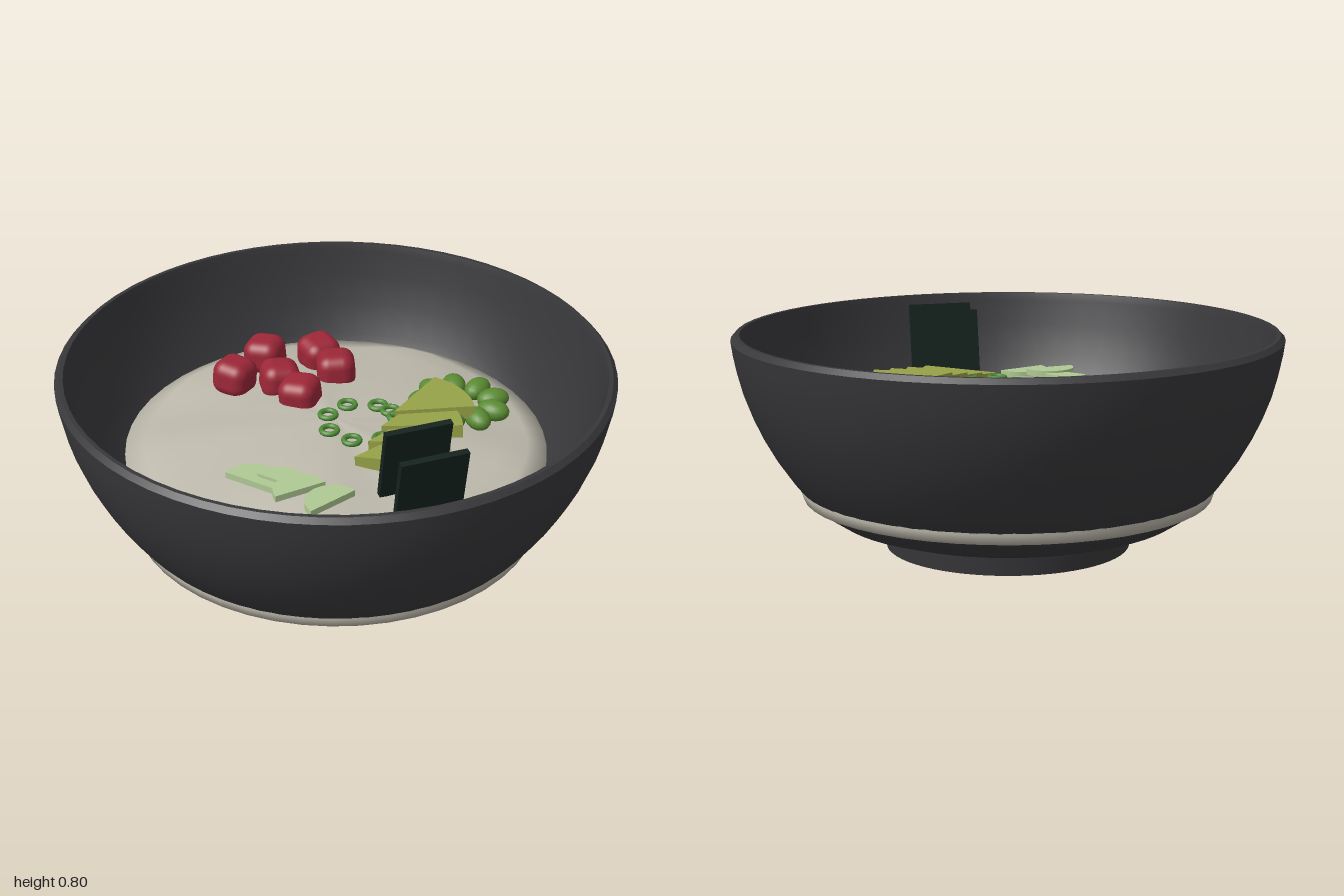
import * as THREE from 'three';
import { RoundedBoxGeometry } from 'three/addons/geometries/RoundedBoxGeometry.js';

const mat = (color, roughness = 0.8) => new THREE.MeshStandardMaterial({ color, roughness });
const rad = THREE.MathUtils.degToRad;

export function createModel() {
  const model = new THREE.Group();
  const add = (name, geometry, material, x = 0, y = 0, z = 0, parent = model) => {
    const mesh = new THREE.Mesh(geometry, material);
    mesh.name = name;
    mesh.position.set(x, y, z);
    parent.add(mesh);
    return mesh;
  };
  const group = (name) => {
    const g = new THREE.Group();
    g.name = name;
    model.add(g);
    return g;
  };
  const lathe = (points, segments = 64) =>
    new THREE.LatheGeometry(points.map(([r, y]) => new THREE.Vector2(r, y)), segments);
  // flat slice: shape lies in the ground plane (shape y = -z), thickness goes up
  const slice = (shape, depth) =>
    new THREE.ExtrudeGeometry(shape, { depth, bevelEnabled: false, curveSegments: 14 }).rotateX(-Math.PI / 2);
  const sector = (radius, from, to) => {
    const s = new THREE.Shape();
    s.moveTo(0, 0);
    s.absarc(0, 0, radius, from, to, false);
    s.lineTo(0, 0);
    return s;
  };

  // Bowl: outer wall, bevelled rim, inner wall and foot
  const dark = mat(0x38383b);
  const bowl = group('bowl');
  add('outerWall', lathe([[0, 0.088], [0.45, 0.088], [0.545, 0.092], [0.635, 0.122], [0.69, 0.158], [0.728, 0.195],
    [0.79, 0.268], [0.85, 0.355], [0.895, 0.435], [0.93, 0.51], [0.96, 0.59], [0.98, 0.665], [0.993, 0.73], [1, 0.782]]),
  dark, 0, 0, 0, bowl);
  add('rimBevel', lathe([[1, 0.782], [0.983, 0.8]]), dark, 0, 0, 0, bowl);
  add('rimTop', lathe([[0.983, 0.8], [0.968, 0.8]]), dark, 0, 0, 0, bowl);
  add('innerWall', lathe([[0.968, 0.8], [0.96, 0.77], [0.945, 0.68], [0.915, 0.57], [0.87, 0.45], [0.815, 0.35],
    [0.735, 0.255], [0.62, 0.175], [0.5, 0.135], [0, 0.12]]), dark, 0, 0, 0, bowl);
  add('foot', new THREE.CylinderGeometry(0.46, 0.45, 0.1, 64), dark, 0, 0.05, 0, bowl);

  // Rice: low mound with soft radial folds, its lower edge showing through the wall
  const riceGeo = lathe([[0, 0.195], [0.752, 0.195], [0.764, 0.23], [0.767, 0.35], [0.769, 0.465],
    [0.7, 0.488], [0.6, 0.51], [0.45, 0.535], [0.25, 0.56], [0, 0.565]], 48);
  const p = riceGeo.attributes.position;
  for (let i = 0; i < p.count; i++) {
    const x = p.getX(i), y = p.getY(i), z = p.getZ(i);
    if (y < 0.47) continue;
    const a = Math.atan2(z, x), r = Math.hypot(x, z);
    p.setY(i, y + 0.016 * r * (Math.sin(5 * a + 4 * r) + 0.6 * Math.sin(9 * a - 3 * r)));
  }
  riceGeo.computeVertexNormals();
  add('rice', riceGeo, mat(0xbdb9ac));

  // Diced fish cubes: [x, z, turn]
  const cubes = group('fishCubes');
  const cubeGeo = new RoundedBoxGeometry(0.145, 0.135, 0.145, 5, 0.048);
  [[-0.47, -0.25, 0.2], [-0.3, -0.365, -0.45], [-0.18, -0.295, 0.6], [-0.32, -0.12, 0.75],
    [-0.195, -0.065, 0.18], [-0.475, -0.05, 0.02]].forEach(([x, z, turn], i) => {
    add('fishCube', cubeGeo, mat(0x9c2738, 0.5), x, 0.58, z, cubes).rotation.set(0.08 * Math.sin(i * 2), turn, 0.08 * Math.cos(i * 3));
  });

  // Beans in a ring, long axis pointing outward
  const beans = group('beans');
  const beanGeo = new THREE.SphereGeometry(1, 18, 12).scale(0.061, 0.038, 0.044);
  for (let i = 0; i < 9; i++) {
    const a = rad(6 + i * 40);
    add('bean', beanGeo, mat(0x5a8a32, 0.6), 0.337 + 0.132 * Math.cos(a), 0.575, -0.322 - 0.122 * Math.sin(a), beans).rotation.y = a;
  }

  // Scallion rings in a loose circle
  const rings = group('scallionRings');
  const ringGeo = new THREE.TorusGeometry(0.029, 0.01, 8, 20).rotateX(Math.PI / 2);
  [48, 69, 94, 144, 189, 238, 284, 333].forEach((deg) => {
    const a = rad(deg);
    add('scallionRing', ringGeo, mat(0x4f8a38), 0.11 + 0.133 * Math.cos(a), 0.587, -0.13 * Math.sin(a), rings);
  });

  // Fanned avocado wedges, each resting on the next
  const avocado = group('avocadoSlices');
  for (let i = 0; i < 4; i++) {
    const from = rad(35 - i * 6);
    add('avocadoSlice', slice(sector(0.29, from, from + rad(54)), 0.05), mat(0x97a248), 0.208,
      0.578 - i * 0.014, -0.065 + i * 0.093, avocado).rotation.z = 0.04;
  }

  // Cucumber half slices: [x, z, radius, facing in degrees, lift]
  const cucumber = group('cucumberSlices');
  [[-0.04, 0.495, 0.11, 90, 0], [0.05, 0.46, 0.09, 90, 0.012], [0.147, 0.475, 0.096, 150, 0.02],
    [0.268, 0.46, 0.098, 162, 0.006]].forEach(([x, z, r, deg, lift]) => {
    const a = rad(deg);
    add('cucumberSlice', slice(sector(r, a - Math.PI / 2, a + Math.PI / 2), 0.024), mat(0xb0c994), x, 0.533 + lift, z, cucumber);
  });

  // Two leaning seaweed sheets
  const sheets = group('seaweedSheets');
  [[0.447, 0.218], [0.584, 0.355]].forEach(([x, z]) => {
    const sheet = add('seaweedSheet', new THREE.BoxGeometry(0.245, 0.3, 0.024), mat(0x14221e), x, 0.651, z, sheets);
    sheet.rotation.order = 'YXZ';
    sheet.rotation.set(0.18, rad(52), 0);
  });

  return model;
}
